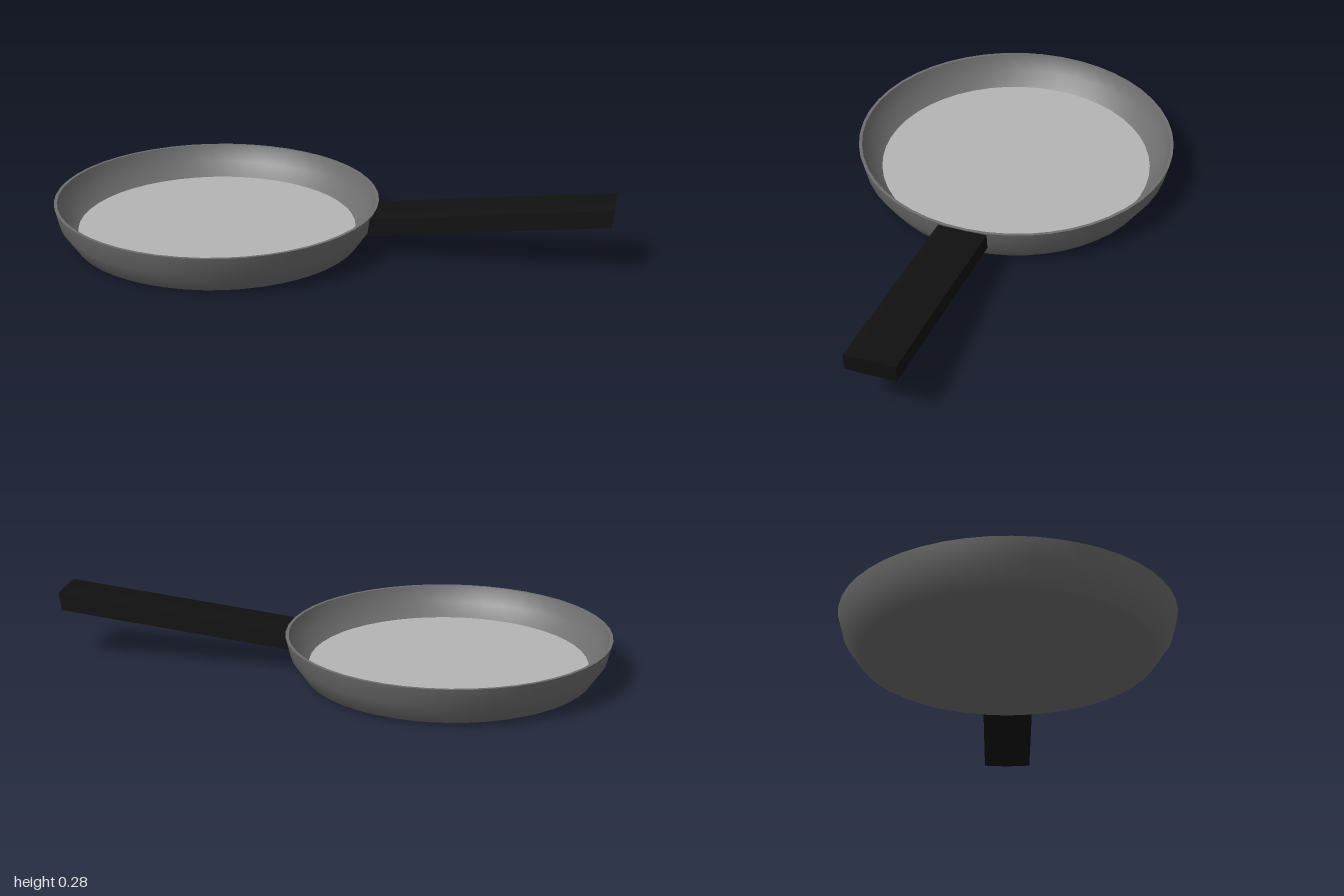
import * as THREE from 'three';
import { toCreasedNormals } from 'three/addons/utils/BufferGeometryUtils.js';

const SEGMENTS = 48;

function part(name, geometry, color) {
  const mesh = new THREE.Mesh(geometry, new THREE.MeshStandardMaterial({ color }));
  mesh.name = name;
  return mesh;
}

export function createModel() {
  const model = new THREE.Group();
  model.name = 'fryingPan';

  // Pan body: underside, sloped outer wall, thin rim, inner wall
  const profile = [
    [0, 0], [0.57, 0], [0.588, 0.008], [0.645, 0.09], [0.665, 0.17],
    [0.652, 0.17], [0.63, 0.1], [0.57, 0.05],
  ].map(([r, y]) => new THREE.Vector2(r, y));
  const body = toCreasedNormals(new THREE.LatheGeometry(profile, SEGMENTS), 0.7);
  model.add(part('panBody', body, 0x6e6e6e));

  // Cooking surface
  const floor = new THREE.CircleGeometry(0.57, SEGMENTS).rotateX(-Math.PI / 2).translate(0, 0.05, 0);
  model.add(part('cookingSurface', floor, 0xb4b4b4));

  // Handle: slightly bowed bar that rises outward, its ends leaning out at the top
  const w = 0.103, h = 0.072;
  const section = new THREE.Shape();
  section.moveTo(-w, 0);
  section.quadraticCurveTo(0, -0.008, w, 0);
  section.lineTo(w, h);
  section.quadraticCurveTo(0, h + 0.01, -w, h);
  const bar = new THREE.ExtrudeGeometry(section, { depth: 0.967, bevelEnabled: false, curveSegments: 6 });
  const pos = bar.attributes.position;
  for (let i = 0; i < pos.count; i++) {
    const y = pos.getY(i), z = pos.getZ(i);
    pos.setY(i, y + z * 0.115);
    pos.setZ(i, z + (y - h) * 0.14);
  }
  const handle = part('handle', toCreasedNormals(bar, 0.6), 0x111111);
  handle.rotation.y = Math.atan2(0.78, 0.625);
  handle.position.set(0.51, 0.09, 0.41);
  model.add(handle);

  model.position.set(-0.335, 0, -0.22);
  const root = new THREE.Group();
  root.name = 'model';
  root.add(model);
  return root;
}
